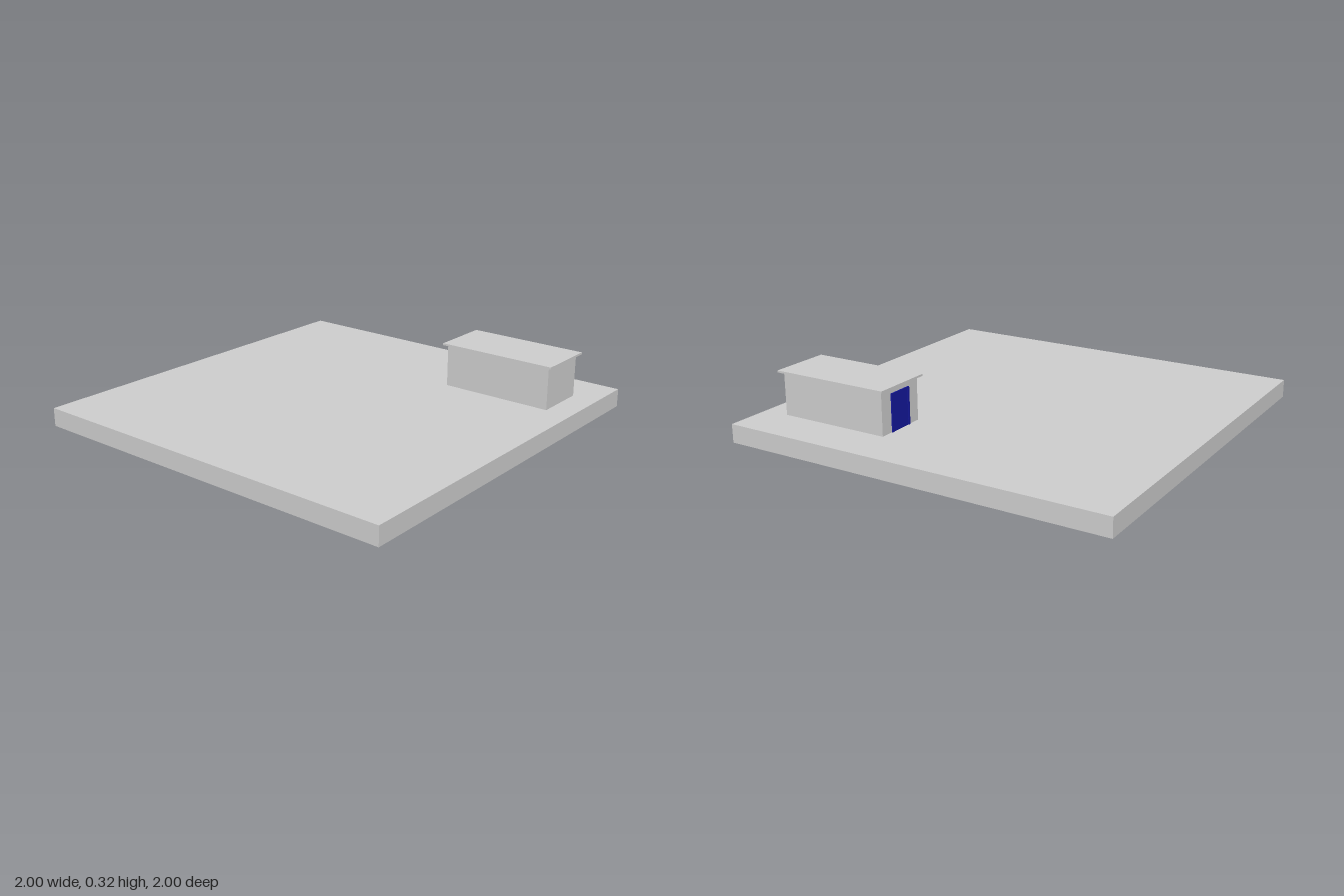
import * as THREE from 'three';

const grey = new THREE.MeshStandardMaterial({ color: 0xcccccc, side: THREE.DoubleSide, flatShading: true });
const blue = new THREE.MeshStandardMaterial({ color: 0x14189a, side: THREE.DoubleSide, flatShading: true });

// Box given by its ranges on each axis; openBottom removes the face pointing down
function box(name, [x0, x1], [y0, y1], [z0, z1], material = grey, openBottom = false) {
  const geometry = new THREE.BoxGeometry(x1 - x0, y1 - y0, z1 - z0);
  if (openBottom) {
    const index = Array.from(geometry.index.array);
    index.splice(18, 6);
    geometry.setIndex(index);
    geometry.clearGroups();
  }
  const mesh = new THREE.Mesh(geometry, material);
  mesh.name = name;
  mesh.position.set((x0 + x1) / 2, (y0 + y1) / 2, (z0 + z1) / 2);
  return mesh;
}

export function createModel() {
  const model = new THREE.Group();
  model.name = 'hutOnPlatform';
  const ground = 0.093;

  // Thin-walled platform, hollow underneath
  model.add(box('platform', [-1, 1], [0, ground], [-1, 1], grey, true));

  // Small hut in the back corner with an overhanging flat roof
  const hut = new THREE.Group();
  hut.name = 'hut';
  hut.add(box('walls', [0.288, 0.868], [ground, 0.309], [-0.768, -0.498], grey, true));
  hut.add(box('roof', [0.268, 0.888], [0.309, 0.319], [-0.79, -0.48]));

  // Door in the end wall, with a slightly raised frame
  const door = new THREE.Group();
  door.name = 'door';
  const [z0, z1, top, post] = [-0.7, -0.566, 0.281, 0.012];
  door.add(box('doorPanel', [0.285, 0.289], [ground, top - post], [z0 + post, z1 - post], blue));
  door.add(box('backPost', [0.282, 0.29], [ground, top], [z0, z0 + post], blue));
  door.add(box('frontPost', [0.282, 0.29], [ground, top], [z1 - post, z1], blue));
  door.add(box('lintel', [0.282, 0.29], [top - post, top], [z0 + post, z1 - post], blue));
  hut.add(door);

  model.add(hut);
  return model;
}
